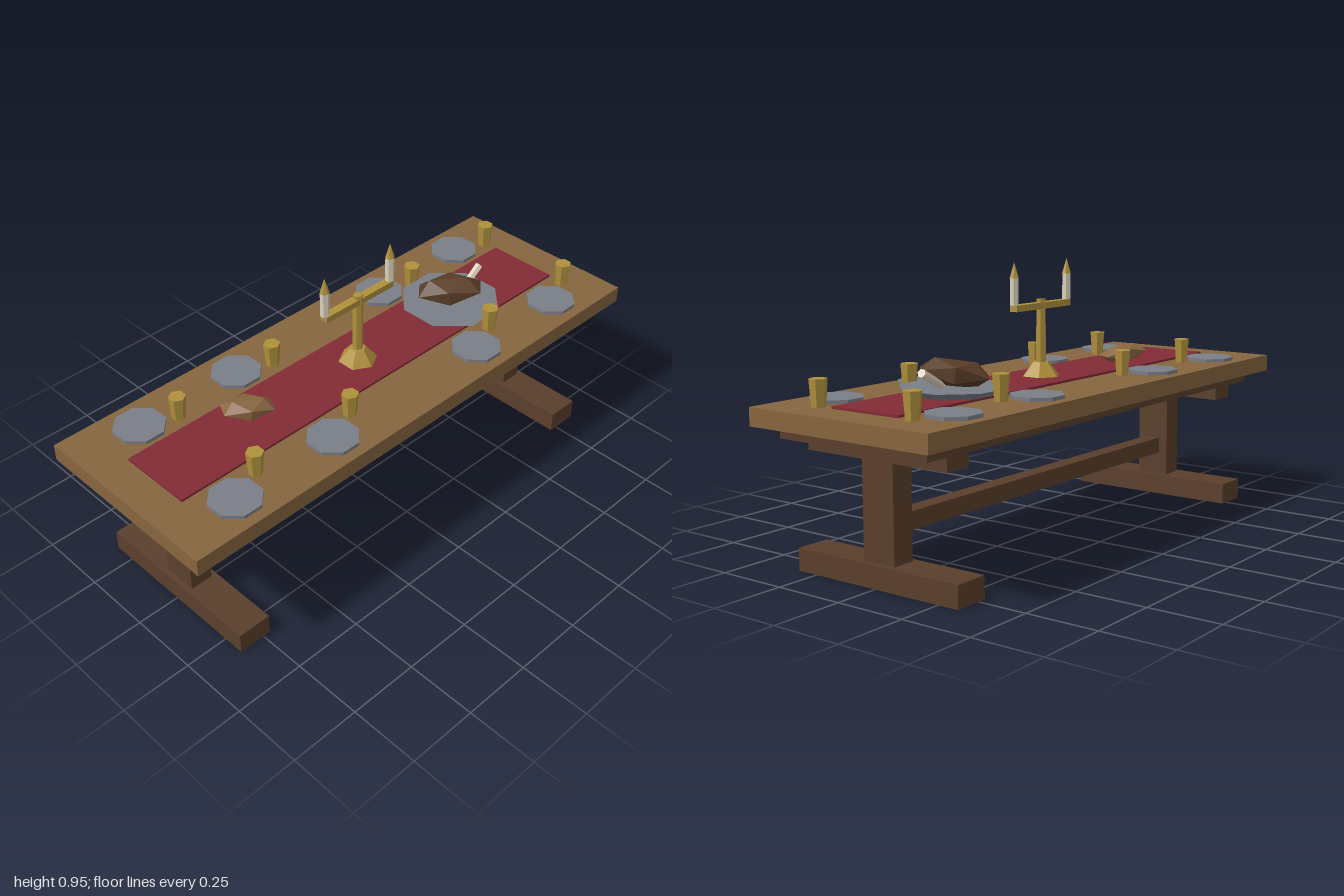
import * as THREE from 'three';

const paint = (name, color) => {
  const m = new THREE.MeshStandardMaterial({ color });
  m.name = name;
  return m;
};

export function createModel() {
  const model = new THREE.Group();
  model.name = 'banquetTable';

  const oak = paint('oak', 0x86653f);
  const darkWood = paint('dark wood', 0x5a3f2c);
  const redCloth = paint('red cloth', 0x822a35);
  const pewter = paint('pewter', 0x7a7e86);
  const gold = paint('gold', 0xb0903c);
  const wax = paint('wax', 0xd8d0bc);
  const meat = paint('roast meat', 0x593c26);
  const crust = paint('bread crust', 0x8a6640);
  const boneWhite = paint('bone', 0xe0d4bc);

  const add = (name, geometry, material, x, y, z, parent = model) => {
    const mesh = new THREE.Mesh(geometry, material);
    mesh.name = name;
    mesh.position.set(x, y, z);
    parent.add(mesh);
    return mesh;
  };
  // Box placed by its bottom height
  const box = (name, material, w, h, d, x, y, z) =>
    add(name, new THREE.BoxGeometry(w, h, d), material, x, y + h / 2, z);
  // Faceted prism, cone or frustum with flat normals
  const prism = (rTop, rBottom, h, sides, turn = 0) => {
    const g = new THREE.CylinderGeometry(rTop, rBottom, h, sides, 1).rotateY(turn).toNonIndexed();
    g.computeVertexNormals();
    return g;
  };
  const round = (name, material, rTop, rBottom, h, sides, x, y, z, turn) =>
    add(name, prism(rTop, rBottom, h, sides, turn), material, x, y + h / 2, z);

  // Table top and the slab beneath it
  box('tableTop', oak, 2, 0.06, 0.716, 0, 0.485, 0);
  box('apron', darkWood, 1.87, 0.04, 0.592, 0, 0.445, 0);

  // Trestles joined by a long stretcher
  for (const s of [-1, 1]) {
    box('trestleBearer', darkWood, 0.1, 0.05, 0.562, s * 0.783, 0.395, 0);
    box('trestlePost', darkWood, 0.082, 0.32, 0.125, s * 0.783, 0.075, 0);
    box('trestleFoot', darkWood, 0.122, 0.075, 0.654, s * 0.783, 0, 0);
    // Hanging cloth panels
    box('clothPanel', redCloth, 0.26, 0.09, 0.011, s * 0.593, 0.375, 0.144);
  }
  box('stretcher', darkWood, 1.49, 0.06, 0.06, 0, 0.16, 0);

  // Table runner
  box('runner', redCloth, 1.75, 0.008, 0.266, 0, 0.545, 0);

  // Place settings on both long sides
  for (const side of [-1, 1]) {
    for (const x of [-0.752, -0.345, 0.342, 0.75]) {
      round('plate', pewter, 0.09, 0.09, 0.012, 8, x, 0.545, side * 0.238, Math.PI / 8);
      round('goblet', gold, 0.03, 0.023, 0.087, 6, x + 0.123, 0.545, side * 0.19);
    }
  }

  // Candelabrum
  round('candelabrumBase', gold, 0.028, 0.069, 0.05, 6, 0, 0.552, 0);
  round('candelabrumStem', gold, 0.017, 0.019, 0.22, 6, 0, 0.598, 0);
  box('candelabrumArm', gold, 0.31, 0.022, 0.03, 0, 0.785, 0);
  for (const s of [-1, 1]) {
    round('candle', wax, 0.016, 0.016, 0.09, 6, s * 0.15, 0.807, 0);
    round('flame', gold, 0, 0.017, 0.054, 6, s * 0.15, 0.897, 0);
  }

  // Serving platter with the roast and its bone
  round('platter', pewter, 0.182, 0.15, 0.022, 8, 0.468, 0.553, 0, Math.PI / 8);
  const lump = (name, material, pos, scale, turn, tilt) => {
    const mesh = add(name, new THREE.IcosahedronGeometry(1, 0), material, ...pos);
    mesh.scale.set(...scale);
    mesh.rotation.set(0, turn, tilt, 'YXZ');
  };
  lump('roast', meat, [0.467, 0.617, -0.004], [0.13, 0.05, 0.08], -0.85, 0.14);
  const bone = add('roastBone', prism(0.015, 0.012, 0.13, 6), boneWhite, 0.575, 0.609, -0.004);
  bone.quaternion.setFromUnitVectors(
    new THREE.Vector3(0, 1, 0), new THREE.Vector3(0.11, 0.052, -0.016).normalize());

  // Loaf of bread
  lump('breadLoaf', crust, [-0.467, 0.585, -0.034], [0.1, 0.034, 0.06], -0.45, -0.1);

  return model;
}
